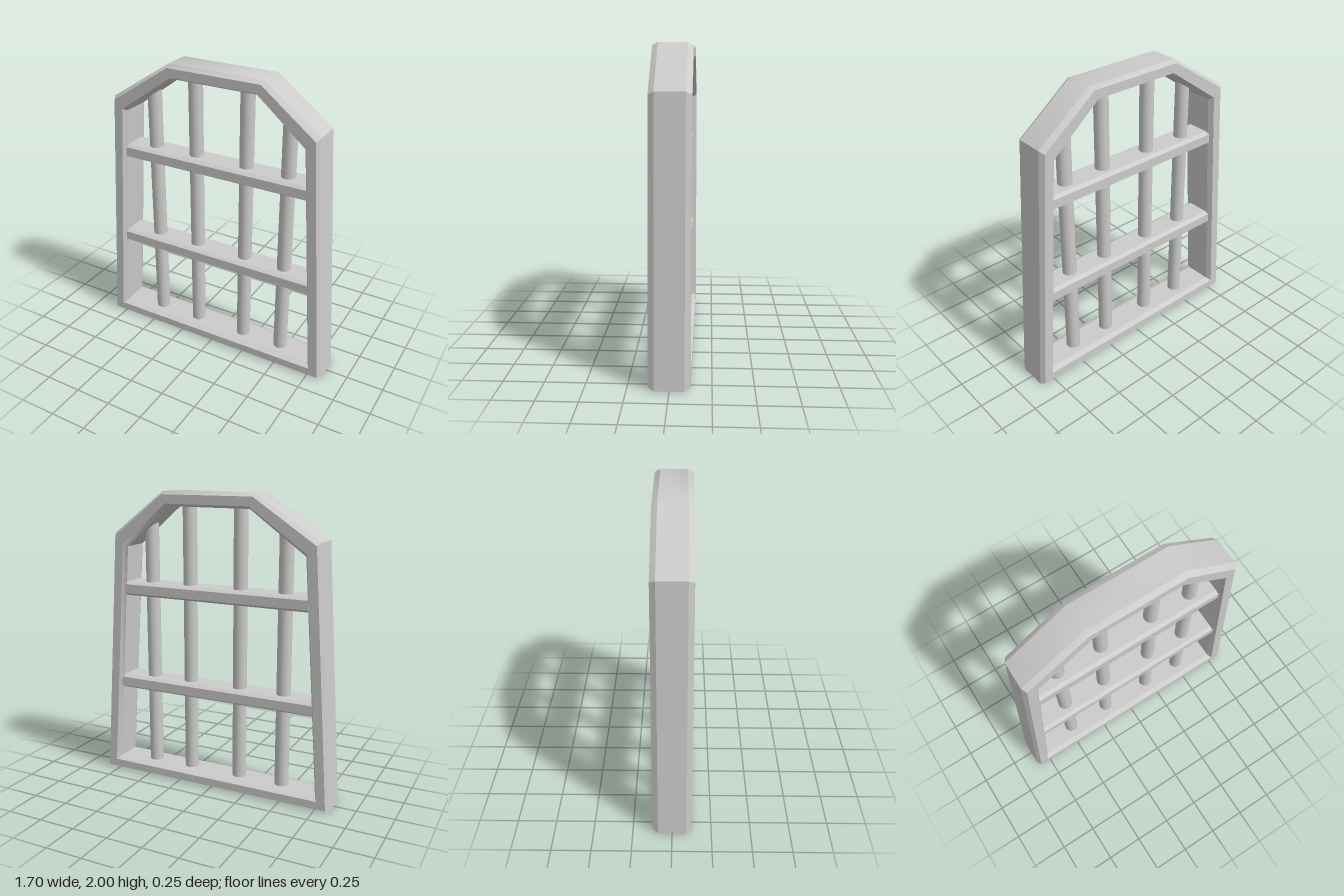
import * as THREE from 'three';
import { mergeGeometries, toCreasedNormals } from 'three/addons/utils/BufferGeometryUtils.js';

const material = new THREE.MeshStandardMaterial({ color: 0xcccccc });

// Corners of the frame, counter-clockwise seen from the front
const OUTER = [[-0.848, 0], [0.848, 0], [0.727, 1.717], [0.356, 2], [-0.303, 2], [-0.731, 1.722]];
const INNER = [[-0.747, 0.085], [0.745, 0.085], [0.633, 1.63], [0.312, 1.905], [-0.264, 1.905], [-0.637, 1.635]];

// Bevelled cross-section: [fraction from outer to inner edge, z]
const SECTION = [
  [0, -0.09], [0, 0.09], [0.19, 0.125], [0.81, 0.125],
  [1, 0.09], [1, -0.09], [0.81, -0.125], [0.19, -0.125],
];

// Sweeps the section round the mitred corners, one strip per section edge
function frameGeometry() {
  const point = (i, [t, z]) => {
    const [ox, oy] = OUTER[i % 6], [ix, iy] = INNER[i % 6];
    return [ox + (ix - ox) * t, oy + (iy - oy) * t, z];
  };
  const strips = SECTION.map((s, j) => {
    const next = SECTION[(j + 1) % SECTION.length];
    const positions = [];
    for (let i = 0; i < 6; i++) {
      const a = point(i, s), b = point(i + 1, s), c = point(i + 1, next), d = point(i, next);
      positions.push(...a, ...b, ...c, ...a, ...c, ...d);
    }
    const strip = new THREE.BufferGeometry();
    strip.setAttribute('position', new THREE.Float32BufferAttribute(positions, 3));
    return toCreasedNormals(strip, THREE.MathUtils.degToRad(40));
  });
  return mergeGeometries(strips);
}

// Horizontal bar with chamfered long edges
function crossbarGeometry(length) {
  const z = 0.1, y = 0.047, cz = 0.025, cy = 0.016;
  const shape = new THREE.Shape([
    [-z, -y + cy], [-z + cz, -y], [z - cz, -y], [z, -y + cy],
    [z, y - cy], [z - cz, y], [-z + cz, y], [-z, y - cy],
  ].map(([px, py]) => new THREE.Vector2(px, py)));
  return new THREE.ExtrudeGeometry(shape, { depth: length, bevelEnabled: false })
    .translate(0, 0, -length / 2)
    .rotateY(Math.PI / 2);
}

export function createModel() {
  const group = new THREE.Group();
  const add = (name, geometry, x = 0, y = 0) => {
    const mesh = new THREE.Mesh(geometry, material);
    mesh.name = name;
    mesh.position.set(x, y, 0);
    group.add(mesh);
  };

  add('frame', frameGeometry());

  // Crossbars: [height, length], ends sunk into the frame
  for (const [y, length] of [[0.67, 1.42], [1.339, 1.325]]) {
    add('crossbar', crossbarGeometry(length), 0, y);
  }

  // Round upright bars: [x, top height]
  for (const [x, top] of [[-0.478, 1.82], [-0.165, 1.95], [0.204, 1.95], [0.495, 1.82]]) {
    const bottom = 0.04;
    add('uprightBar', new THREE.CylinderGeometry(0.047, 0.047, top - bottom, 20), x, (top + bottom) / 2);
  }
  return group;
}
